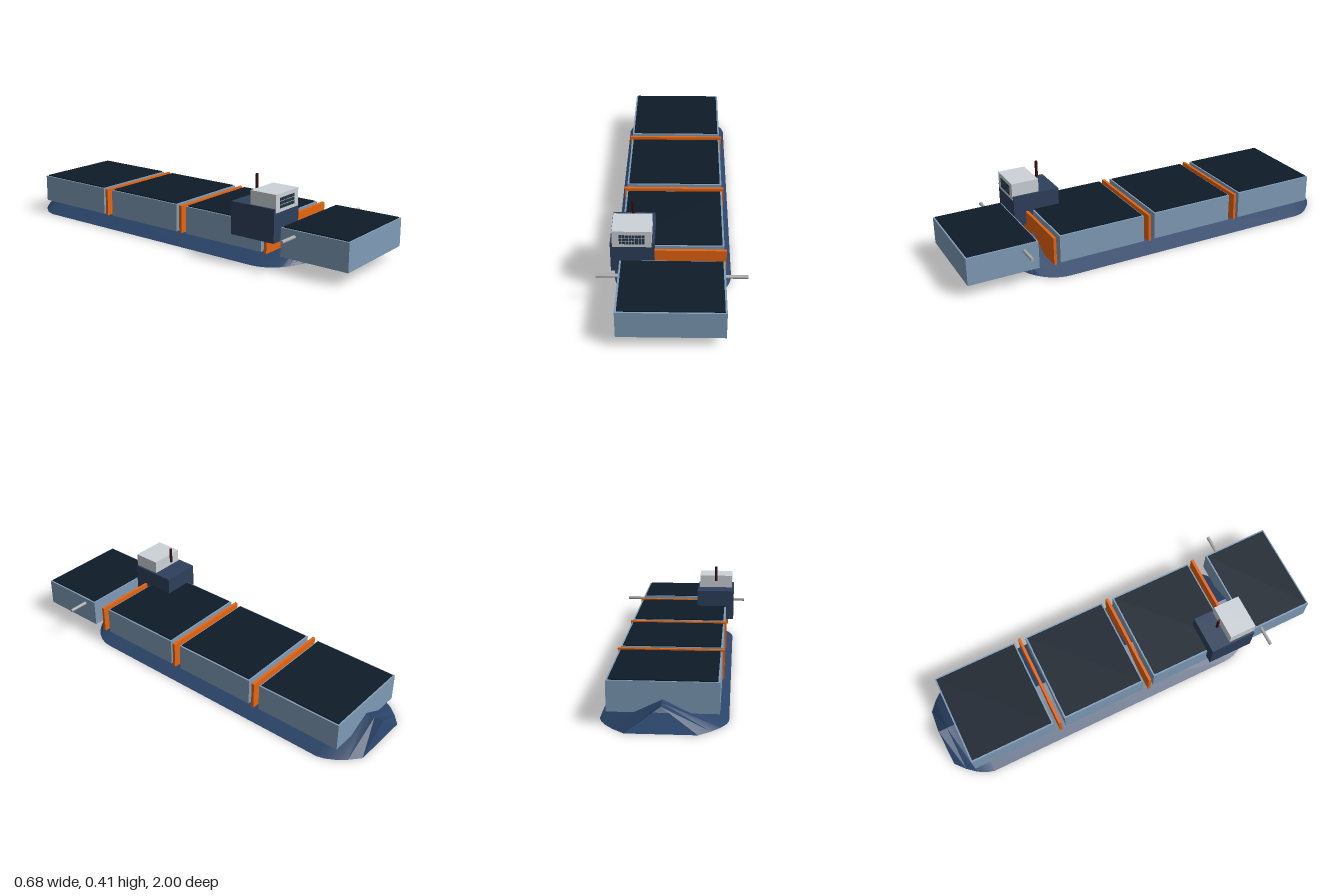
import * as THREE from 'three';
import { toCreasedNormals } from 'three/addons/utils/BufferGeometryUtils.js';

const paint = (color, side = THREE.FrontSide) => new THREE.MeshStandardMaterial({ color, side });

const MAT = {
  hull: paint(0x2a4468, THREE.DoubleSide),
  cargo: paint(0x7f9cb8),
  cover: paint(0x0e1c29),
  frame: paint(0xe8650f),
  cabin: paint(0x2e3f5c),
  bridge: paint(0xcdd3d9),
  window: paint(0x26384a),
  mast: paint(0x3a1014),
  pole: paint(0xaaaaaa),
};

function addMesh(parent, name, geometry, material) {
  const mesh = new THREE.Mesh(geometry, material);
  mesh.name = name;
  parent.add(mesh);
  return mesh;
}

// Box given by its minimum and maximum along each axis
function addBox(parent, name, material, [x0, x1], [y0, y1], [z0, z1]) {
  const mesh = addMesh(parent, name, new THREE.BoxGeometry(x1 - x0, y1 - y0, z1 - z0), material);
  mesh.position.set((x0 + x1) / 2, (y0 + y1) / 2, (z0 + z1) / 2);
  return mesh;
}

// Triangular sections: tapered open stern, parallel middle, round bow with a rising bottom
function hullGeometry() {
  const sections = [[-1, 0.153, 0], [-0.955, 0.205, 0], [-0.91, 0.243, 0], [-0.87, 0.266, 0], [-0.83, 0.278, 0]];
  const steps = 14, bowStart = 0.51, bowLength = 0.22;
  for (let i = 0; i <= steps; i++) {
    const a = (i / steps) * Math.PI / 2;
    sections.push([
      bowStart + bowLength * Math.sin(a),
      Math.max(0.278 * Math.cos(a), 0.002),
      0.015 * (1 - Math.cos(a)),
    ]);
  }
  const positions = [], index = [];
  sections.forEach(([z, w, y], i) => {
    positions.push(w, y, z, 0, 0.12, z, -w, y, z);
    if (i === 0) return;
    for (let j = 0; j < 3; j++) {
      const k = (j + 1) % 3, p = (i - 1) * 3, q = i * 3;
      index.push(p + j, p + k, q + k, p + j, q + k, q + j);
    }
  });
  const geometry = new THREE.BufferGeometry();
  geometry.setAttribute('position', new THREE.Float32BufferAttribute(positions, 3));
  geometry.setIndex(index);
  return toCreasedNormals(geometry, 0.4);
}

export function createModel() {
  const model = new THREE.Group();
  model.name = 'cargoShip';

  addMesh(model, 'hull', hullGeometry(), MAT.hull);

  // Cargo holds with dark covers
  for (const [z0, z1] of [[-0.91, -0.465], [-0.405, 0.035], [0.095, 0.543], [0.65, 1]]) {
    const hold = new THREE.Group();
    hold.name = 'cargoHold';
    addBox(hold, 'holdBody', MAT.cargo, [-0.24, 0.24], [0.06, 0.198], [z0, z1]);
    addBox(hold, 'holdCover', MAT.cover, [-0.231, 0.231], [0.198, 0.203], [z0 + 0.008, z1 - 0.008]);
    model.add(hold);
  }

  // Orange frames between the holds
  for (const z of [-0.435, 0.068, 0.573]) {
    addBox(model, 'divider', MAT.frame, [-0.25, 0.25], [0.06, 0.2], [z - 0.007, z + 0.007]);
  }

  // Deckhouse on the right side
  const deckhouse = new THREE.Group();
  deckhouse.name = 'deckhouse';
  model.add(deckhouse);
  addBox(deckhouse, 'cabin', MAT.cabin, [-0.281, -0.082], [0.129, 0.288], [0.402, 0.64]);
  addBox(deckhouse, 'bridge', MAT.bridge, [-0.271, -0.092], [0.268, 0.354], [0.503, 0.642]);

  // Window grid on the front of the bridge
  for (let row = 0; row < 3; row++) {
    for (let col = 0; col < 8; col++) {
      const x = -0.239 + col * 0.0146, y = 0.285 + row * 0.0175;
      addBox(deckhouse, 'window', MAT.window, [x, x + 0.0125], [y, y + 0.0145], [0.64, 0.6435]);
    }
  }

  // Mast behind the bridge
  const mast = addMesh(deckhouse, 'mast', new THREE.CylinderGeometry(0.007, 0.007, 0.08, 16), MAT.mast);
  mast.position.set(-0.182, 0.37, 0.474);

  // Pole through the front hold
  const pole = addMesh(model, 'crossPole', new THREE.CylinderGeometry(0.0085, 0.0085, 0.684, 20), MAT.pole);
  pole.rotation.z = Math.PI / 2;
  pole.position.set(0, 0.168, 0.722);

  return model;
}
